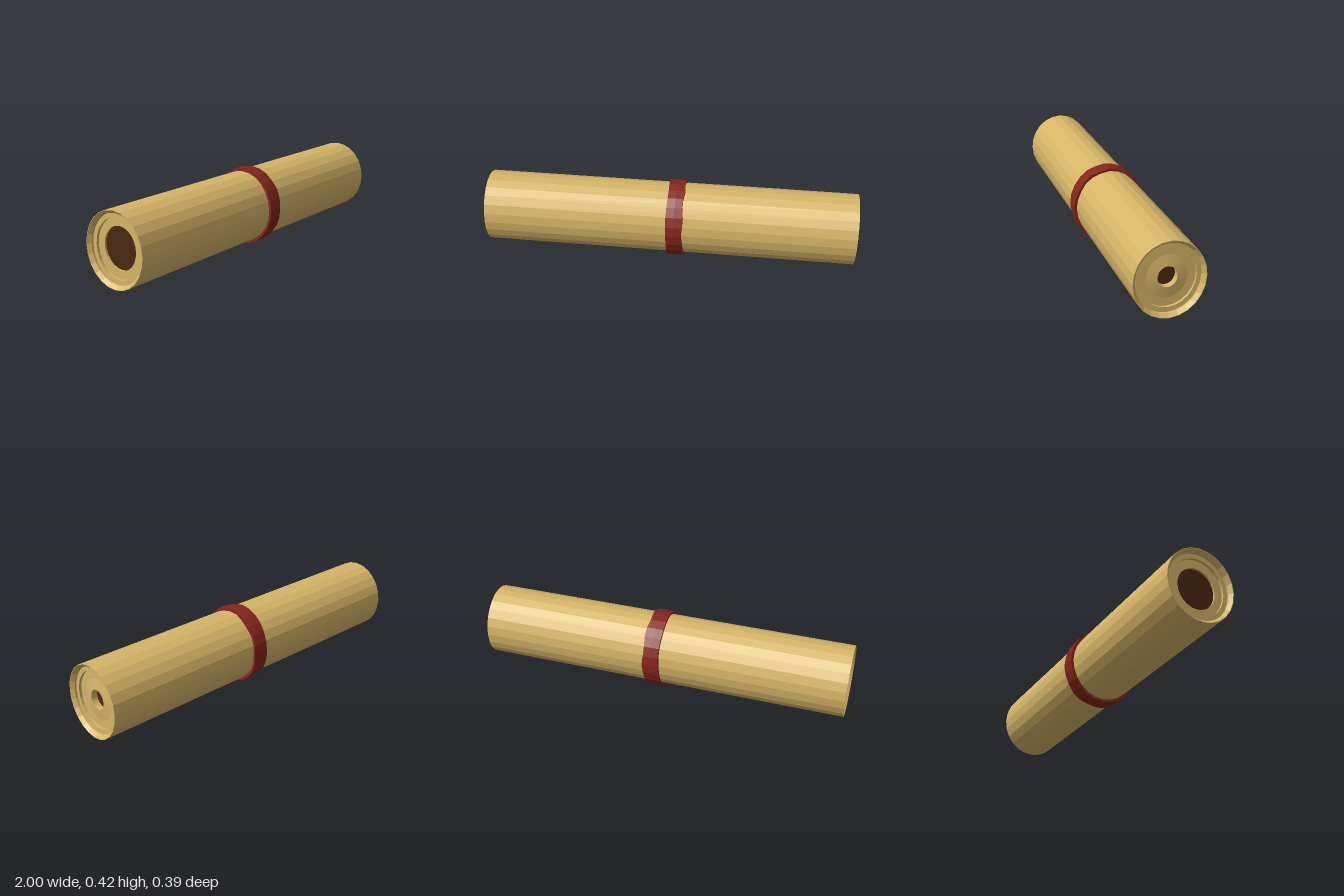
import * as THREE from 'three';

const SIDES = 24;
const RY = 0.195, RZ = 0.18, CENTRE_Y = 0.2125;

const material = (color) => new THREE.MeshStandardMaterial({
  color, flatShading: true, side: THREE.DoubleSide, roughness: 0.9,
});

// Lathe along x: points are [radius as a share of the roll radius, x], running from -x to +x
function turned(name, points, mat) {
  const geometry = new THREE.LatheGeometry(points.map(([r, x]) => new THREE.Vector2(r, x)), SIDES);
  geometry.rotateZ(-Math.PI / 2);
  geometry.scale(1, RY, RZ);
  const mesh = new THREE.Mesh(geometry, mat);
  mesh.name = name;
  return mesh;
}

export function createModel() {
  const scroll = new THREE.Group();
  scroll.name = 'scroll';
  const paper = material(0xd6b567);
  const dark = material(0x4a2813);
  const red = material(0x85251c);

  // Rolled sheet: bevelled lips and stepped recesses at both ends
  const lip = [[1, 1], [0.985, 1], [0.905, 0.982], [0.905, 0.972], [0.78, 0.972], [0.78, 0.958]];
  const leftEnd = [...lip, [0.56, 0.958], [0.27, 0.966], [0.27, 0.93]];
  const rightEnd = [...lip, [0.56, 0.958], [0.56, 0.945]].map(([r, x]) => [r, -x]).reverse();
  scroll.add(turned('rolledPaper', [...rightEnd, ...leftEnd], paper));

  // Dark hollows of the roll
  scroll.add(turned('rightHollow', [[0, -0.947], [0.57, -0.947]], dark));
  scroll.add(turned('leftHollow', [[0.28, 0.932], [0, 0.932]], dark));

  // Ribbon tied round the middle, with uneven edges and a small overlap on top
  const ribbon = turned('ribbon', [
    [1.0, -0.008], [1.075, -0.008], [1.085, 0.036], [1.075, 0.079], [1.0, 0.079], [1.0, -0.008],
  ], red);
  const p = ribbon.geometry.attributes.position;
  for (let i = 0; i < p.count; i++) {
    const x = p.getX(i), y = p.getY(i), z = p.getZ(i);
    const a = Math.atan2(z / RZ, y / RY);
    const outer = Math.hypot(y / RY, z / RZ) > 1.02;
    const overlap = a > 0.1 && a < 0.4 ? -0.02 : 0;
    const swell = outer ? 1 + overlap + 0.006 * Math.sin(5 * a) : 1;
    const drift = x > 0.05 ? 0.004 * Math.sin(7 * a) : 0.002 * Math.sin(4 * a);
    p.setXYZ(i, x + drift, y * swell, z * swell);
  }
  ribbon.geometry.computeVertexNormals();
  scroll.add(ribbon);

  for (const part of scroll.children) part.position.y = CENTRE_Y;
  return scroll;
}
